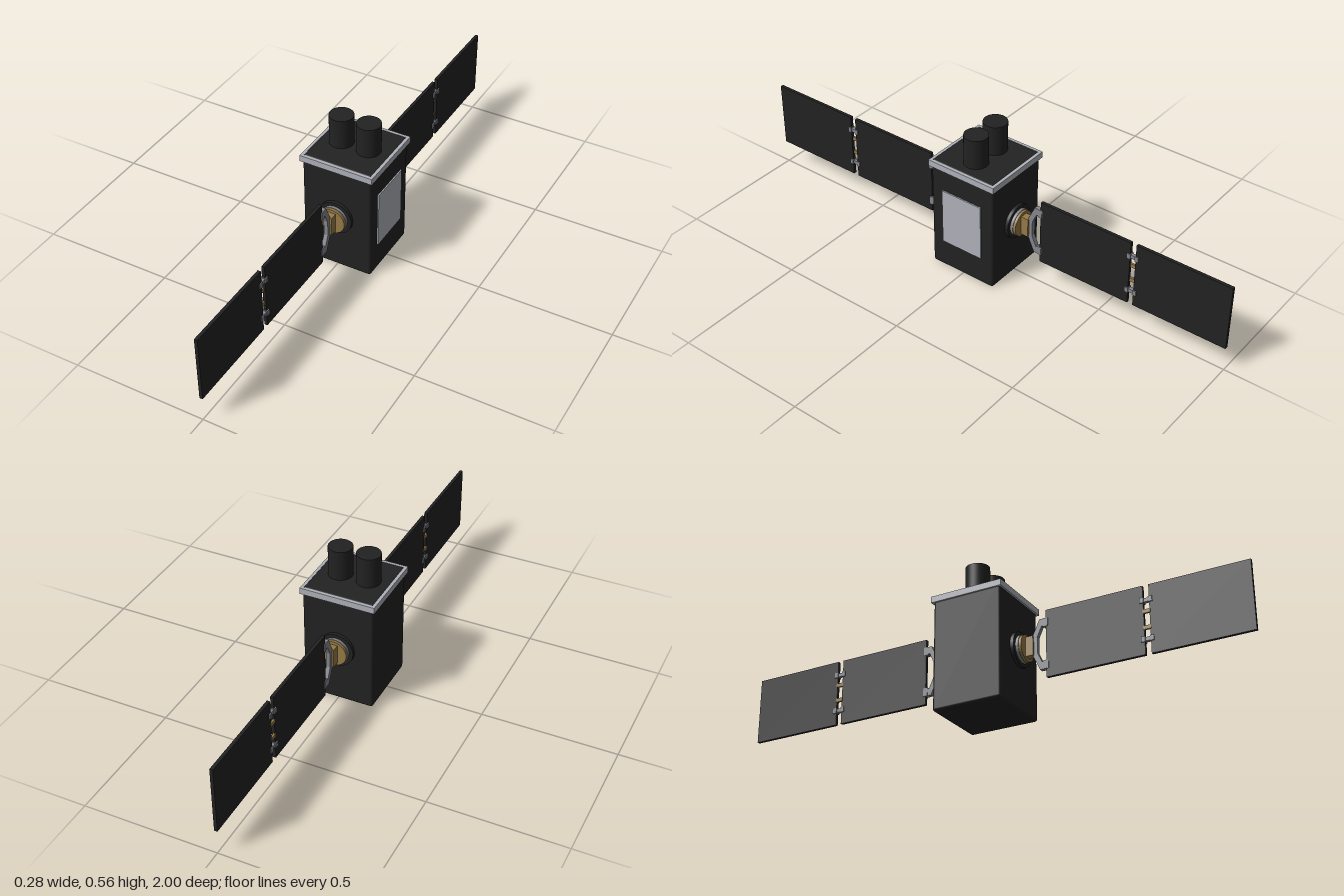
import * as THREE from 'three';
import { RoundedBoxGeometry } from 'three/addons/geometries/RoundedBoxGeometry.js';

const paint = (name, color) => {
  const m = new THREE.MeshStandardMaterial({ color });
  m.name = name;
  return m;
};

export function createModel() {
  const dark = paint('charcoal', 0x222222);
  const silver = paint('silver', 0xb0b2ba);
  const steel = paint('steel grey', 0x85878d);
  const brass = paint('brass', 0x967a46);

  const model = new THREE.Group();
  model.name = 'satellite';

  const add = (parent, name, geometry, material, x = 0, y = 0, z = 0) => {
    const mesh = new THREE.Mesh(geometry, material);
    mesh.name = name;
    mesh.position.set(x, y, z);
    parent.add(mesh);
    return mesh;
  };
  const box = (w, h, d) => new THREE.BoxGeometry(w, h, d);
  const disc = (r, depth, r2 = r) => new THREE.CylinderGeometry(r2, r, depth, 40).rotateX(Math.PI / 2);

  // Body with softened edges
  add(model, 'body', new RoundedBoxGeometry(0.27, 0.441, 0.27, 3, 0.01), dark, 0, 0.2205, 0);

  // Square collar around the top of the body
  const square = (r) => [[-r, -r], [r, -r], [r, r], [-r, r]].map(([x, y]) => new THREE.Vector2(x, y));
  const collar = new THREE.Shape(square(0.142));
  collar.holes.push(new THREE.Path(square(0.131)));
  const collarGeometry = new THREE.ExtrudeGeometry(collar, { depth: 0.024, bevelEnabled: false });
  add(model, 'collar', collarGeometry.rotateX(-Math.PI / 2), silver, 0, 0.416, 0);

  // Pair of telescope tubes
  for (const x of [-0.055, 0.053]) {
    add(model, 'telescopeTube', new THREE.CylinderGeometry(0.0445, 0.0445, 0.12, 40), dark, x, 0.496, 0);
  }

  // Radiator plate on the left side
  add(model, 'radiatorPlate', box(0.008, 0.22, 0.17), silver, 0.136, 0.221, 0);

  // Yoke outline as (z, y) points, mirrored about the hub height
  const hubY = 0.2225;
  const upper = [[0.254, 0.068], [0.229, 0.068], [0.212, 0.03]];
  const outer = [[0.192, 0.033], [0.221, 0.096], [0.254, 0.096]];
  const half = [...upper, ...outer];
  const yokePoints = [
    ...upper.map(([z, y]) => [z, y]),
    ...upper.slice().reverse().map(([z, y]) => [z, -y]),
    ...outer.slice().reverse().map(([z, y]) => [z, -y]),
    ...outer,
  ].map(([z, y]) => new THREE.Vector2(z, y));
  const yokeGeometry = new THREE.ExtrudeGeometry(new THREE.Shape(yokePoints), { depth: 0.016, bevelEnabled: false })
    .translate(0, 0, -0.008)
    .rotateY(-Math.PI / 2);

  const buildWing = (side) => {
    const wing = new THREE.Group();
    wing.name = side > 0 ? 'frontWing' : 'backWing';

    // Rotating hub
    add(wing, 'hubBase', disc(0.065, 0.016), dark, 0, hubY, 0.140);
    add(wing, 'hubRing', disc(0.051, 0.012), steel, 0, hubY, 0.153);
    add(wing, 'hubDisc', disc(0.049, 0.012), brass, 0, hubY, 0.163);
    add(wing, 'hubBlock', box(0.03, 0.074, 0.032), brass, 0, hubY, 0.182);
    add(wing, 'yoke', yokeGeometry, steel, 0, hubY, 0);

    // Two solar panels
    add(wing, 'innerPanel', box(0.012, 0.255, 0.369), dark, 0, hubY, 0.4295);
    add(wing, 'outerPanel', box(0.012, 0.255, 0.364), dark, 0, hubY, 0.818);

    for (const v of [1, -1]) {
      // Fittings that clamp the yoke to the inner panel
      add(wing, 'yokeClamp', box(0.018, 0.032, 0.016), steel, 0, hubY + v * 0.08, 0.244);
      // Hinge between the panels
      add(wing, 'hingeBridge', box(0.013, 0.014, 0.03), steel, 0, hubY + v * 0.072, 0.625);
      for (const z of [0.609, 0.641]) {
        add(wing, 'hingeLug', box(0.02, 0.02, 0.014), steel, 0, hubY + v * 0.072, z);
      }
      // Brass latch, on the same side of both wings
      add(wing, 'latch', box(0.008, 0.014, 0.028), brass, -side * 0.004, hubY + v * 0.03, 0.625);
    }

    if (side < 0) wing.rotation.y = Math.PI;
    model.add(wing);
  };
  buildWing(1);
  buildWing(-1);

  return model;
}
